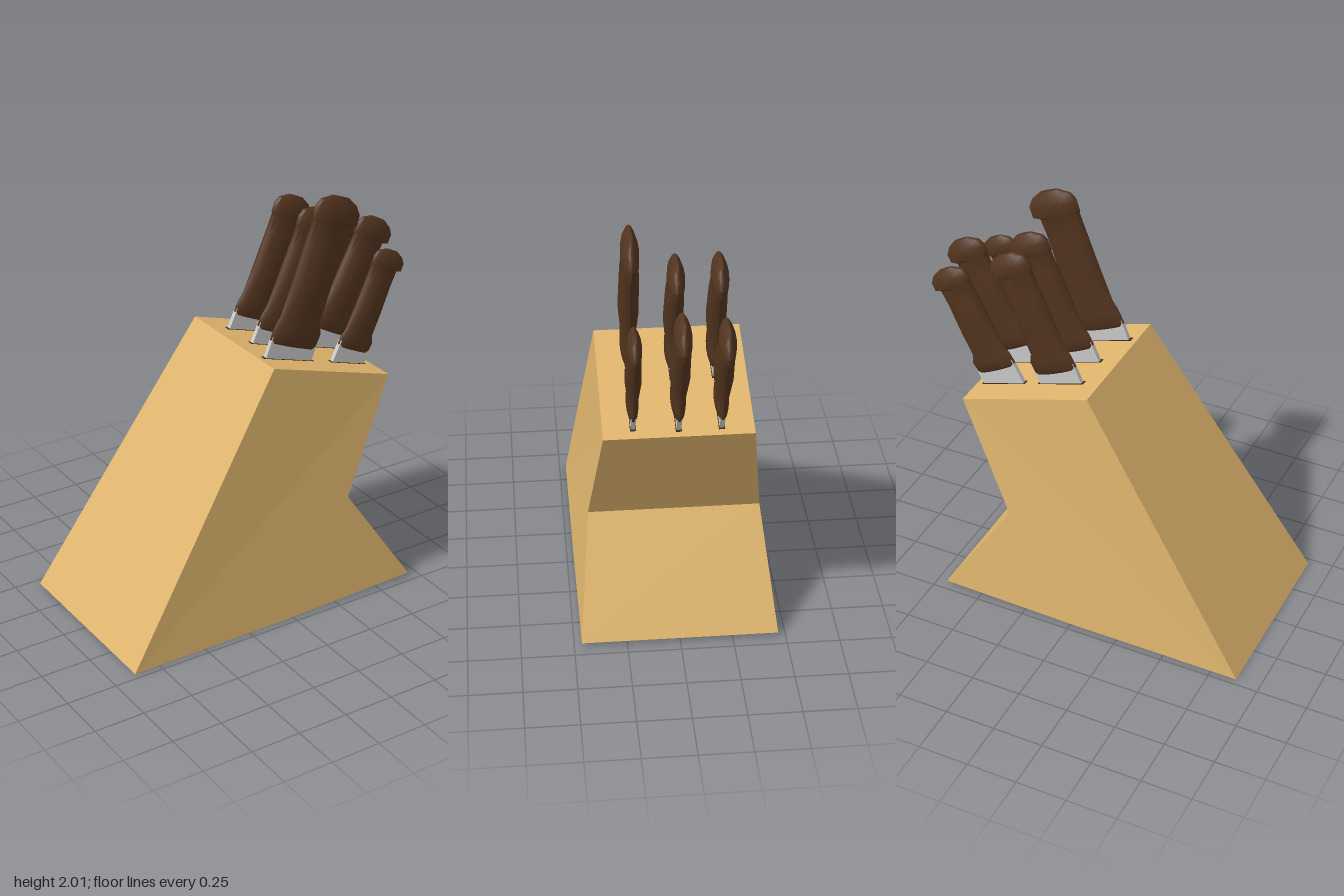
import * as THREE from 'three';
import { toCreasedNormals } from 'three/addons/utils/BufferGeometryUtils.js';

const wood = new THREE.MeshStandardMaterial({ color: 0xdfb56d });
const brown = new THREE.MeshStandardMaterial({ color: 0x52341f });
const steel = new THREE.MeshStandardMaterial({ color: 0xcccccc });
const dark = new THREE.MeshStandardMaterial({ color: 0x3a2a18 });

// Sloping top face of the block
const TOP_LEFT = [-0.04, 1.29], TOP_RIGHT = [0.615, 1.09];
const slope = Math.atan2(TOP_LEFT[1] - TOP_RIGHT[1], TOP_RIGHT[0] - TOP_LEFT[0]);

function part(name, geometry, material) {
  const mesh = new THREE.Mesh(geometry, material);
  mesh.name = name;
  return mesh;
}

// Notched side profile, narrowing in depth towards the top
function blockGeometry() {
  const outline = [[-0.88, 0], [-0.05, 0.003], [0.69, 0.02], [0.35, 0.53], TOP_RIGHT, TOP_LEFT];
  const shape = new THREE.Shape(outline.map(([x, y]) => new THREE.Vector2(x, y)));
  const g = new THREE.ExtrudeGeometry(shape, { depth: 1, bevelEnabled: false });
  g.translate(0, 0, -0.5);
  const p = g.attributes.position;
  for (let i = 0; i < p.count; i++) {
    p.setZ(i, Math.sign(p.getZ(i)) * (0.467 - 0.113 * Math.min(p.getY(i), 1.09)));
  }
  g.computeVertexNormals();
  return g;
}

// Handle sections: height, back edge, front edge, thickness (all relative)
const SECTIONS = [
  [0, 0, 0, 0], [0, -0.92, 0.92, 0.5], [0.025, -1, 0.99, 0.72], [0.11, -0.96, 1.02, 0.75],
  [0.175, -0.87, 0.82, 0.7], [0.4, -0.83, 0.75, 1], [0.68, -0.85, 0.67, 0.92],
  [0.82, -0.88, 0.7, 0.75], [0.835, -0.93, 0.97, 0.85], [0.91, -0.96, 0.95, 0.85],
  [0.96, -0.85, 0.72, 0.6], [1, -0.42, 0.3, 0.25], [1, -0.06, -0.06, 0],
];

function handleGeometry(length, half, thick) {
  const sides = 16, pos = [], index = [];
  SECTIONS.forEach(([t, back, front, w], r) => {
    for (let i = 0; i < sides; i++) {
      const a = (i / sides) * Math.PI * 2;
      pos.push(half * ((back + front) / 2 + Math.cos(a) * (front - back) / 2),
        t * length, Math.sin(a) * w * thick);
      if (r === SECTIONS.length - 1) continue;
      const j = (i + 1) % sides, k = r * sides, n = k + sides;
      index.push(k + i, n + i, k + j, k + j, n + i, n + j);
    }
  });
  const g = new THREE.BufferGeometry();
  g.setAttribute('position', new THREE.Float32BufferAttribute(pos, 3));
  g.setIndex(index);
  return toCreasedNormals(g, 0.6);
}

// Knife with its origin at the foot of the handle
function createKnife(name, { x, y, z, tilt, length, half, thick }) {
  const knife = new THREE.Group();
  knife.name = name;
  knife.add(part('handle', handleGeometry(length, half, thick), brown));
  const blade = part('blade', new THREE.BoxGeometry(half * 1.9, 0.28, 0.022), steel);
  blade.position.y = -0.11;
  knife.add(blade);
  knife.position.set(x, y, z);
  knife.rotation.z = -tilt;
  return knife;
}

// Dark slot where the knife's axis meets the top face
function createSlot({ x, y, z, tilt, half }) {
  const k = Math.tan(slope);
  const s = (y - TOP_LEFT[1] + k * (x - TOP_LEFT[0])) / (Math.cos(tilt) + k * Math.sin(tilt));
  const slot = part('slot', new THREE.BoxGeometry(half * 2.1, 0.004, 0.028), dark);
  slot.position.set(x - s * Math.sin(tilt), y - s * Math.cos(tilt), z);
  slot.rotation.z = -slope;
  return slot;
}

export function createModel() {
  const model = new THREE.Group();
  model.name = 'knifeBlock';
  model.add(part('block', blockGeometry(), wood));

  const deg = Math.PI / 180;
  const knives = {
    largeKnife: { x: 0.155, y: 1.3, z: 0.2, tilt: 21.5 * deg, length: 0.735, half: 0.14, thick: 0.048 },
    backMiddleKnife: { x: 0.195, y: 1.285, z: 0, tilt: 24 * deg, length: 0.625, half: 0.118, thick: 0.046 },
    backFarKnife: { x: 0.19, y: 1.285, z: -0.195, tilt: 24 * deg, length: 0.625, half: 0.118, thick: 0.046 },
    smallKnife: { x: 0.5, y: 1.195, z: 0.205, tilt: 25.5 * deg, length: 0.51, half: 0.1, thick: 0.038 },
    frontMiddleKnife: { x: 0.508, y: 1.21, z: 0, tilt: 28 * deg, length: 0.595, half: 0.118, thick: 0.046 },
    frontFarKnife: { x: 0.505, y: 1.205, z: -0.195, tilt: 28 * deg, length: 0.55, half: 0.115, thick: 0.044 },
  };
  for (const [name, spec] of Object.entries(knives)) {
    model.add(createKnife(name, spec), createSlot(spec));
  }
  return model;
}
